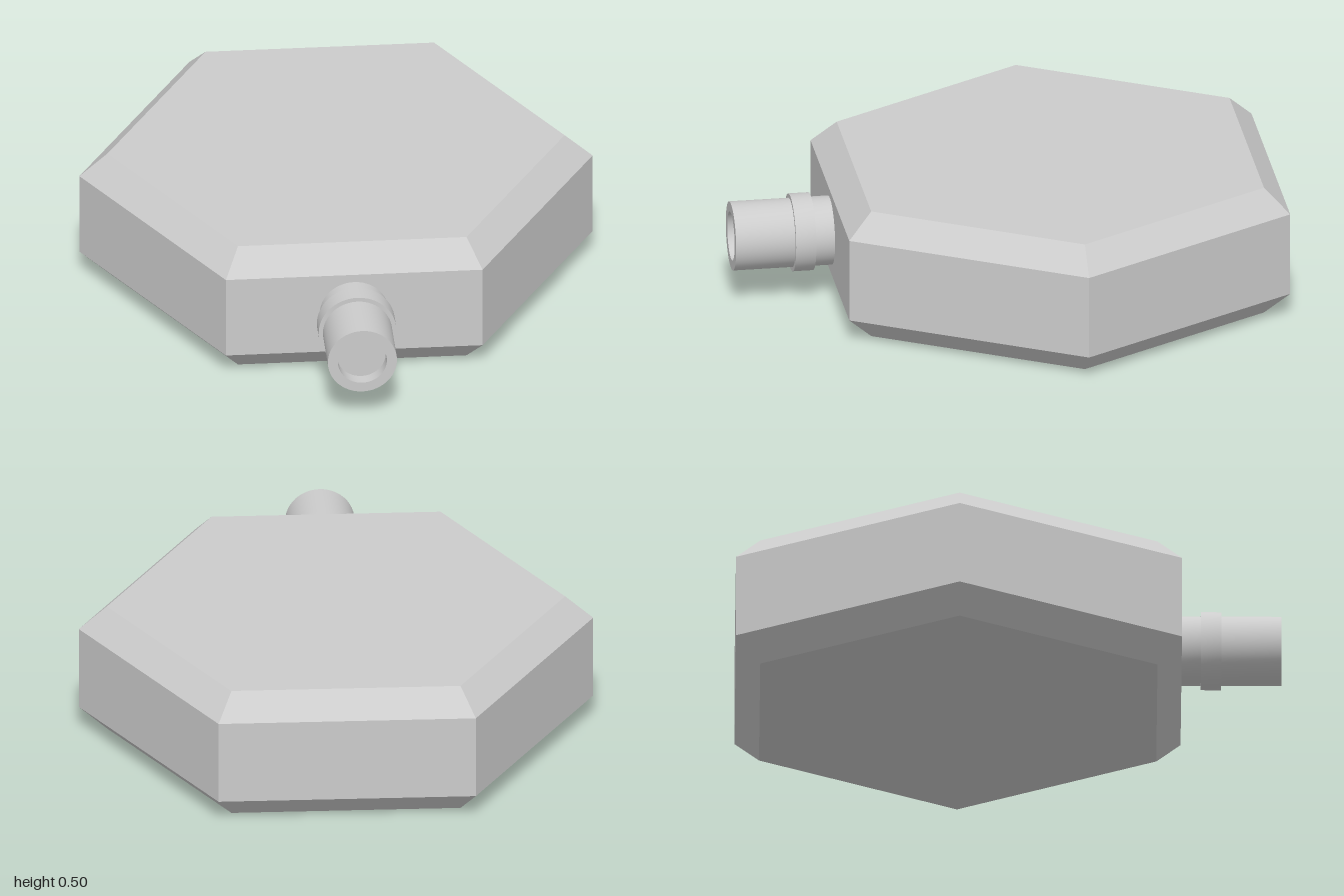
import * as THREE from 'three';
import { toCreasedNormals } from 'three/addons/utils/BufferGeometryUtils.js';

// Turned solid from [radius, height] pairs, with edges sharper than the crease angle kept hard
function turned(name, profile, sides, phiStart, crease, flatShading) {
  const points = profile.map(([r, y]) => new THREE.Vector2(r, y));
  const geometry = toCreasedNormals(new THREE.LatheGeometry(points, sides, phiStart), crease);
  const mesh = new THREE.Mesh(geometry, new THREE.MeshStandardMaterial({ color: 0xcccccc, flatShading }));
  mesh.name = name;
  return mesh;
}

export function createModel() {
  const model = new THREE.Group();
  model.name = 'hexagonalHousing';

  // Six-sided housing with chamfered top and bottom rims, corners on the x axis
  const housing = turned('housing', [
    [0, 0], [0.84, 0], [0.943, 0.09], [0.943, 0.407], [0.84, 0.497], [0, 0.497],
  ], 6, Math.PI / 2, 0.1, true);
  housing.position.z = -0.183;
  model.add(housing);

  // Round connector on the front face: stem, collar and shallow bore
  const connector = turned('connector', [
    [0.127, 0.62], [0.127, 0.705], [0.143, 0.705], [0.143, 0.78], [0.127, 0.78],
    [0.127, 1], [0.09, 1], [0.09, 0.95], [0, 0.95],
  ], 48, 0, 0.6, false);
  connector.geometry.rotateX(Math.PI / 2);
  connector.position.y = 0.25;
  model.add(connector);

  return model;
}
